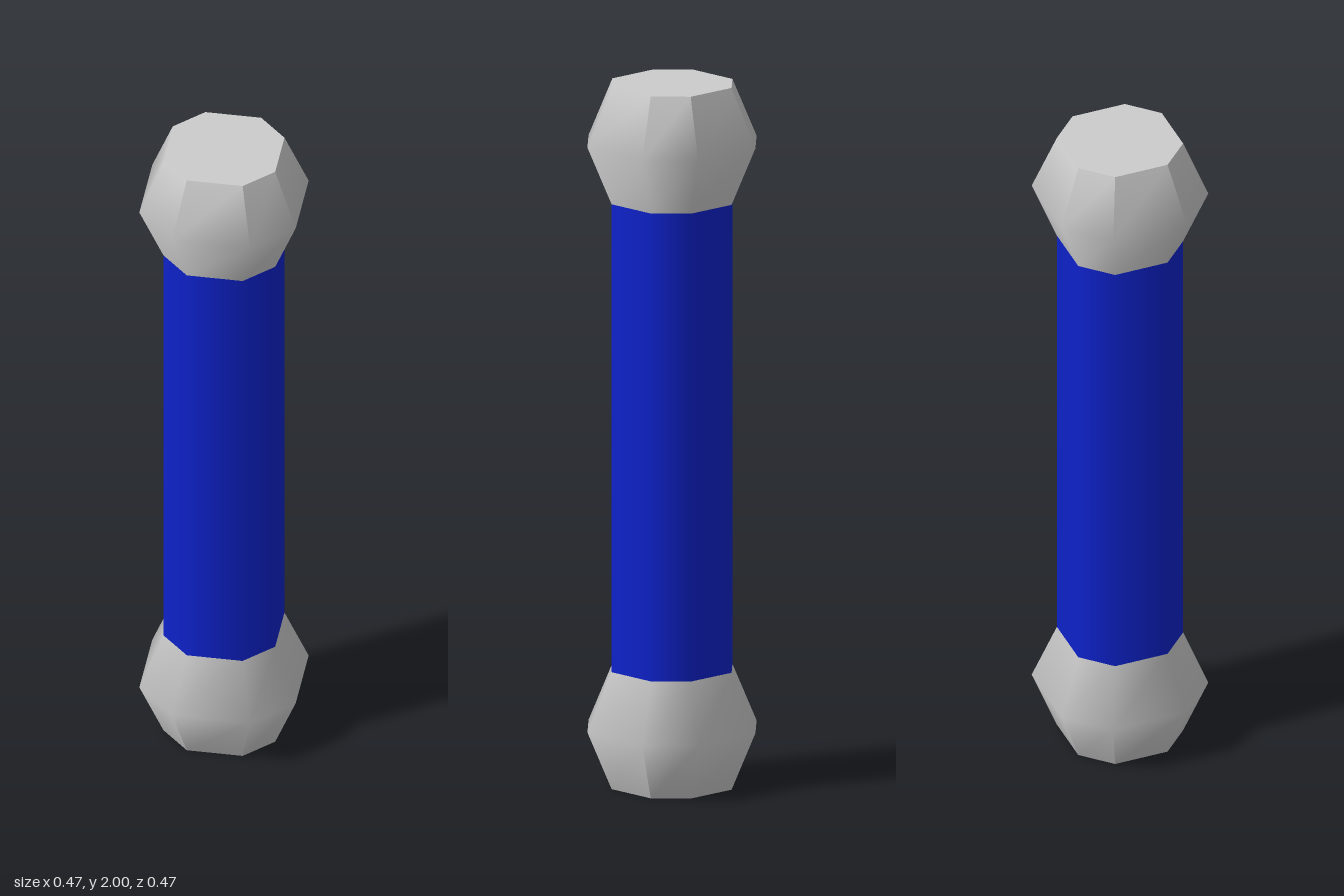
import * as THREE from 'three';

const OUTER = 1 / 6, INNER = 1 / 18, BULGE = 1.4;
const TILT = Math.atan((OUTER * (BULGE - 1)) / (1 / 6));

// Corners of the octagonal section (x, z)
const corners = [
  [OUTER, INNER], [INNER, OUTER], [-INNER, OUTER], [-OUTER, INNER],
  [-OUTER, -INNER], [-INNER, -OUTER], [INNER, -OUTER], [OUTER, -INNER],
];

// Eight-sided band between two rings { y, scale, tilt, flat }.
// A flat ring takes the normal of each face, otherwise the corners are smoothed.
function band(low, high) {
  const position = [], normal = [];
  const add = (face, step, ring) => {
    const [x, z] = corners[(face + step) % 8];
    const angle = (Math.PI / 4) * (ring.flat ? face + 1 : face + step + 0.5);
    position.push(x * ring.scale, ring.y, z * ring.scale);
    normal.push(Math.cos(angle) * Math.cos(ring.tilt), Math.sin(ring.tilt), Math.sin(angle) * Math.cos(ring.tilt));
  };
  for (let i = 0; i < 8; i++) {
    add(i, 1, low); add(i, 0, low); add(i, 0, high);
    add(i, 1, low); add(i, 0, high); add(i, 1, high);
  }
  const geometry = new THREE.BufferGeometry();
  geometry.setAttribute('position', new THREE.Float32BufferAttribute(position, 3));
  geometry.setAttribute('normal', new THREE.Float32BufferAttribute(normal, 3));
  return geometry;
}

function mesh(name, geometry, material) {
  const m = new THREE.Mesh(geometry, material);
  m.name = name;
  return m;
}

export function createModel() {
  const grey = new THREE.MeshStandardMaterial({ color: 0xcccccc });
  grey.name = 'light grey';
  const blue = new THREE.MeshStandardMaterial({ color: 0x0e22cc });
  blue.name = 'deep blue';

  const model = new THREE.Group();
  model.name = 'rod';

  // Straight shaft
  model.add(mesh('shaft', band(
    { y: 1 / 3, scale: 1, tilt: 0 },
    { y: 5 / 3, scale: 1, tilt: 0 }), blue));

  // Bulging end knobs: smooth inner slope, creased outer slope, flat cap
  const neck = { y: 5 / 3, scale: 1, tilt: -TILT / 2 };
  const waist = { y: 11 / 6, scale: BULGE, tilt: 0 };
  const rim = { y: 2, scale: 1, tilt: TILT, flat: true };
  const innerSlope = band(neck, waist);
  const outerSlope = band(waist, rim);
  const cap = new THREE.ShapeGeometry(new THREE.Shape(corners.map(([x, z]) => new THREE.Vector2(x, z))));
  cap.rotateX(-Math.PI / 2).translate(0, 2, 0);

  for (const name of ['topKnob', 'bottomKnob']) {
    const knob = new THREE.Group();
    knob.name = name;
    knob.add(mesh('innerSlope', innerSlope, grey), mesh('outerSlope', outerSlope, grey), mesh('cap', cap, grey));
    if (name === 'bottomKnob') {
      knob.rotation.x = Math.PI;
      knob.position.y = 2;
    }
    model.add(knob);
  }
  return model;
}
